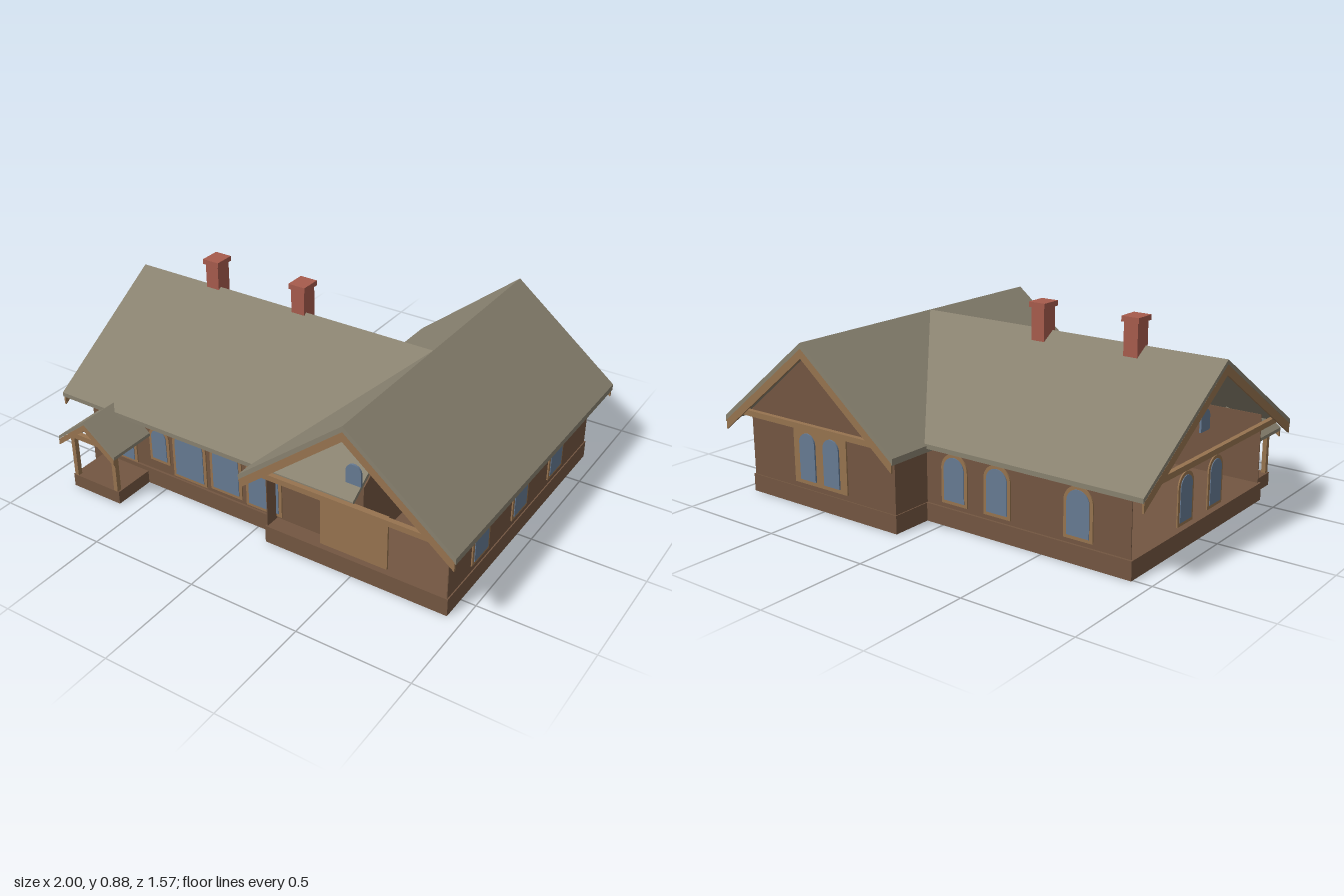
import * as THREE from 'three';

const mat = (name, color, side = THREE.DoubleSide) => {
  const m = new THREE.MeshStandardMaterial({ color, side });
  m.name = name;
  return m;
};

export function createModel() {
  const roofMat = mat('roof grey', 0x88816f);
  const wallMat = mat('wall brown', 0x735641);
  const trimMat = mat('trim tan', 0x96734f);
  const glassMat = mat('glass blue', 0x667a92);
  const brickMat = mat('brick red', 0xa65b4c);

  const house = new THREE.Group();
  house.name = 'house';

  const add = (parent, name, geometry, material) => {
    const mesh = new THREE.Mesh(geometry, material);
    mesh.name = name;
    parent.add(mesh);
    return mesh;
  };

  // Box given by its minimum and maximum corners
  const box = (parent, name, material, x0, x1, y0, y1, z0, z1) => {
    const g = new THREE.BoxGeometry(x1 - x0, y1 - y0, z1 - z0);
    g.translate((x0 + x1) / 2, (y0 + y1) / 2, (z0 + z1) / 2);
    return add(parent, name, g, material);
  };

  // Flat outline in x and y, extruded from z0 to z1
  const prism = (parent, name, material, points, z0, z1) => {
    const shape = new THREE.Shape(points.map(([x, y]) => new THREE.Vector2(x, y)));
    const g = new THREE.ExtrudeGeometry(shape, { depth: z1 - z0, bevelEnabled: false });
    g.translate(0, 0, z0);
    return add(parent, name, g, material);
  };

  // Folded slab with its ridge along z
  const chevron = (parent, name, material, half, apex, eave, thick, z0, z1) =>
    prism(parent, name, material, [
      [-half, eave], [0, apex], [half, eave],
      [half, eave - thick], [0, apex - thick], [-half, eave - thick],
    ], z0, z1);

  // Gable wall up to the roof
  const gableWall = (parent, name, half, side, apex, z) =>
    prism(parent, name, wallMat, [
      [-half, 0.08], [half, 0.08], [half, side], [0, apex], [-half, side],
    ], z - 0.002, z + 0.002);

  const archShape = (w, h) => {
    const s = new THREE.Shape();
    s.moveTo(-w / 2, 0);
    s.lineTo(w / 2, 0);
    s.lineTo(w / 2, h - w / 2);
    s.absarc(0, h - w / 2, w / 2, 0, Math.PI, false);
    s.lineTo(-w / 2, 0);
    return s;
  };

  // Arched window: tan frame plate with a glass plate on it, facing local +z
  const archWindow = (x, y, z, w, h, turn = 0, border = 0.015) => {
    const g = new THREE.Group();
    g.name = 'archWindow';
    const plate = (name, pw, ph, depth, material, lift) => {
      const geo = new THREE.ExtrudeGeometry(archShape(pw, ph), { depth, bevelEnabled: false, curveSegments: 16 });
      geo.translate(0, lift, 0);
      add(g, name, geo, material);
    };
    if (border) plate('windowFrame', w, h, 0.006, trimMat, 0);
    plate('windowGlass', w - 2 * border, h - 2 * border, 0.009, glassMat, border);
    g.position.set(x, y, z);
    g.rotation.y = turn;
    house.add(g);
  };

  // Stone-coloured plinths
  box(house, 'mainPlinth', wallMat, -0.915, 0.51, 0, 0.08, -0.51, 0.55);
  box(house, 'wingPlinth', wallMat, 0.085, 0.935, 0, 0.08, -0.70, 0.615);

  // Wing: ridge along z, open gable at the front
  const wing = new THREE.Group();
  wing.name = 'wing';
  wing.position.x = 0.51;
  house.add(wing);
  for (const s of [-1, 1]) {
    const x = s * 0.418;
    box(wing, 'wingSideWall', wallMat, x - 0.002, x + 0.002, 0.08, 0.385, -0.695, 0.61);
  }
  gableWall(wing, 'wingBackWall', 0.42, 0.38, 0.725, -0.693);
  chevron(wing, 'wingRoof', roofMat, 0.49, 0.755, 0.36, 0.028, -0.785, 0.70);
  for (const z of [-0.786, 0.692]) {
    chevron(wing, 'wingBargeboard', trimMat, 0.485, 0.73, 0.34, 0.042, z, z + 0.009);
  }
  box(wing, 'frontTieBeam', trimMat, -0.43, 0.43, 0.38, 0.405, 0.67, 0.692);
  box(wing, 'backTieBeam', trimMat, -0.43, 0.43, 0.38, 0.405, -0.777, -0.755);

  // Main block: built with its ridge along z, then turned so that +z becomes -x
  const main = new THREE.Group();
  main.name = 'mainBlock';
  main.position.z = 0.02;
  main.rotation.y = -Math.PI / 2;
  house.add(main);
  for (const s of [-1, 1]) {
    const x = s * 0.518;
    box(main, 'mainSideWall', wallMat, x - 0.002, x + 0.002, 0.08, 0.39, -0.51, 0.905);
  }
  gableWall(main, 'mainInnerWall', 0.52, 0.385, 0.73, -0.508);
  chevron(main, 'mainRoof', roofMat, 0.60, 0.755, 0.368, 0.02, -0.51, 1.0);
  chevron(main, 'mainBargeboard', trimMat, 0.595, 0.735, 0.35, 0.042, 0.991, 1.0);
  box(main, 'mainTieBeam', trimMat, -0.53, 0.53, 0.38, 0.405, 0.97, 0.991);

  // Front windows: x, sill, width, height
  for (const [x, y, w, h] of [
    [-0.73, 0.075, 0.14, 0.19], [-0.525, 0.13, 0.11, 0.18], [-0.36, 0.09, 0.18, 0.26],
    [-0.165, 0.10, 0.165, 0.25], [0.03, 0.09, 0.18, 0.26],
  ]) archWindow(x, y, 0.54, w, h);
  archWindow(0.51, 0.45, 0.61, 0.07, 0.09, 0, 0);

  // Side and rear windows
  for (const z of [-0.35, 0, 0.35]) archWindow(0.93, 0.11, z, 0.145, 0.21, Math.PI / 2);
  for (const x of [-0.67, -0.28, -0.06]) archWindow(x, 0.10, -0.50, 0.135, 0.22, Math.PI);
  for (const z of [-0.11, 0.13]) archWindow(-0.905, 0.10, z, 0.12, 0.22, -Math.PI / 2);
  archWindow(-0.905, 0.45, 0.02, 0.07, 0.09, -Math.PI / 2, 0);

  // Wide panels in the two wing ends, the rear one with a pair of panes
  box(house, 'frontPanel', trimMat, 0.355, 0.665, 0.105, 0.355, 0.606, 0.615);
  box(house, 'backPanel', trimMat, 0.355, 0.665, 0.105, 0.355, -0.702, -0.695);
  for (const x of [0.44, 0.58]) archWindow(x, 0.125, -0.70, 0.09, 0.21, Math.PI, 0);

  // Entrance porch
  const porch = new THREE.Group();
  porch.name = 'porch';
  porch.position.x = -0.728;
  house.add(porch);
  box(porch, 'porchStep', wallMat, -0.13, 0.13, 0, 0.06, 0.54, 0.745);
  for (const s of [-1, 1]) {
    const x = s * 0.113;
    box(porch, 'porchPost', trimMat, x - 0.01, x + 0.01, 0.06, 0.26, 0.722, 0.744);
    box(porch, 'porchSideBeam', trimMat, x - 0.01, x + 0.01, 0.255, 0.278, 0.54, 0.744);
  }
  box(porch, 'porchFrontBeam', trimMat, -0.123, 0.123, 0.255, 0.28, 0.722, 0.744);
  chevron(porch, 'porchRoof', roofMat, 0.157, 0.39, 0.268, 0.015, 0.55, 0.78);
  chevron(porch, 'porchBargeboard', trimMat, 0.155, 0.375, 0.253, 0.028, 0.774, 0.783);

  // Chimneys on the main ridge
  for (const x of [-0.597, -0.14]) {
    box(house, 'chimneyStack', brickMat, x - 0.033, x + 0.033, 0.68, 0.857, -0.043, 0.035);
    box(house, 'chimneyCap', brickMat, x - 0.041, x + 0.041, 0.857, 0.88, -0.051, 0.043);
  }

  return house;
}
